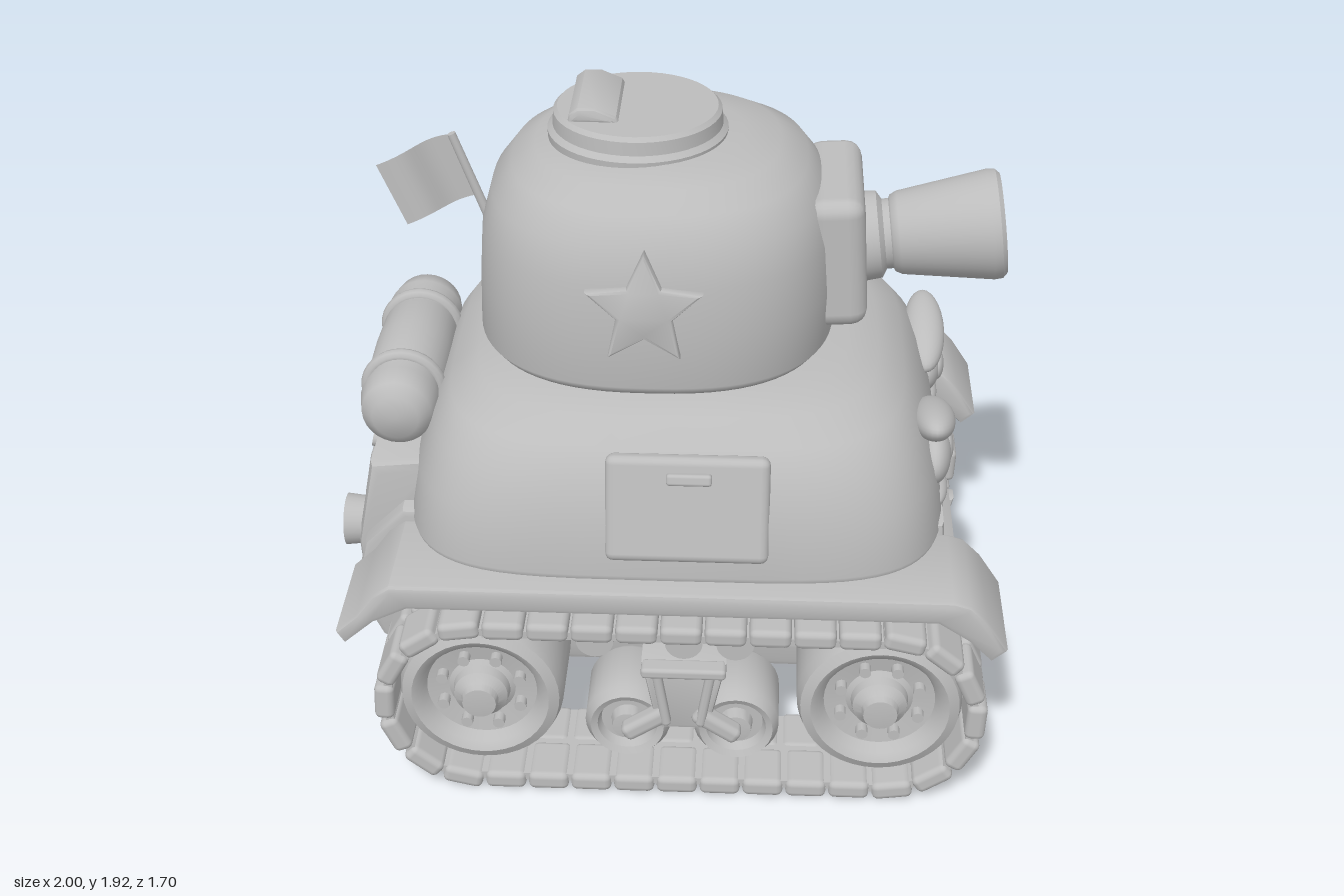
import * as THREE from 'three';
import { toCreasedNormals } from 'three/addons/utils/BufferGeometryUtils.js';
import { RoundedBoxGeometry } from 'three/addons/geometries/RoundedBoxGeometry.js';

const clay = new THREE.MeshStandardMaterial({ color: 0xbcbcbc });
clay.name = 'clay grey';
const clayThin = clay.clone();
clayThin.side = THREE.DoubleSide;

const V2 = (p) => p.map(([x, y]) => new THREE.Vector2(x, y));
const crease = (g) => toCreasedNormals(g, 0.7);
const rbox = (w, h, d, r = 0.02) => new RoundedBoxGeometry(w, h, d, 2, r);
const lathe = (pts, n = 40) => crease(new THREE.LatheGeometry(V2(pts), n));
const cyl = (r1, r2, h, n = 24) => new THREE.CylinderGeometry(r1, r2, h, n);

function add(parent, name, geo, pos = [0, 0, 0], rot = [0, 0, 0], mat = clay) {
  const m = new THREE.Mesh(geo, mat);
  m.name = name;
  m.position.set(...pos);
  m.rotation.set(...rot);
  parent.add(m);
  return m;
}

function ellipsoid(parent, name, pos, scale, rot) {
  add(parent, name, new THREE.SphereGeometry(1, 28, 18), pos, rot).scale.set(...scale);
}

// Side profile extruded across z, centred on z = 0
function slab(pts, depth, bevel = 0.015) {
  const g = new THREE.ExtrudeGeometry(new THREE.Shape(V2(pts)), {
    depth: depth - 2 * bevel, bevelThickness: bevel, bevelSize: bevel, bevelOffset: -bevel, bevelSegments: 2 });
  g.translate(0, 0, -depth / 2 + bevel);
  return crease(g);
}

// Stack of superellipse sections [y, xMin, xMax, zHalf, power]
function loft(levels, n = 72) {
  const pos = [], idx = [];
  const sp = (v, e) => Math.sign(v) * Math.abs(v) ** (2 / e);
  for (const [y, x0, x1, hz, e] of levels)
    for (let i = 0; i < n; i++) {
      const a = (i / n) * Math.PI * 2;
      pos.push((x0 + x1) / 2 + ((x1 - x0) / 2) * sp(Math.cos(a), e), y, hz * sp(Math.sin(a), e));
    }
  for (let j = 0; j < levels.length - 1; j++)
    for (let i = 0; i < n; i++) {
      const a = j * n + i, b = j * n + ((i + 1) % n);
      idx.push(a, a + n, b, b, a + n, b + n);
    }
  const g = new THREE.BufferGeometry();
  g.setAttribute('position', new THREE.Float32BufferAttribute(pos, 3));
  g.setIndex(idx);
  g.computeVertexNormals();
  return g;
}

// Holder on a flank, with local +z pointing outwards
function flank(parent, name, s, x, y, z, tilt) {
  const g = new THREE.Group();
  g.name = name;
  g.position.set(x, y, s * z);
  g.rotation.set(-tilt, s > 0 ? 0 : Math.PI, 0, 'YXZ');
  parent.add(g);
  return g;
}

function starGeometry(r) {
  const pts = [];
  for (let i = 0; i < 10; i++) {
    const a = Math.PI / 2 + (i * Math.PI) / 5, q = i % 2 ? r * 0.48 : r;
    pts.push([Math.cos(a) * q, Math.sin(a) * q]);
  }
  return slab(pts, 0.05, 0.012);
}

function buildHull(tank) {
  add(tank, 'upperHull', loft([
    [0.70, 0, 0.02, 0.01, 2], [0.70, -0.78, 0.82, 0.74, 4.5], [0.74, -0.79, 0.83, 0.75, 4.5],
    [0.90, -0.765, 0.80, 0.725, 4.3], [1.02, -0.72, 0.755, 0.68, 4], [1.10, -0.67, 0.70, 0.625, 3.8],
    [1.155, -0.59, 0.62, 0.54, 3.5], [1.18, -0.5, 0.53, 0.45, 3.2], [1.19, -0.4, 0.4, 0.36, 3], [1.19, 0, 0.02, 0.01, 2]]));
  const body = [[-0.8, 0.76], [-0.92, 0.64], [-0.95, 0.52], [-0.94, 0.4], [-0.89, 0.29], [-0.78, 0.22],
    [0.68, 0.21], [0.78, 0.24], [0.85, 0.31], [0.88, 0.42], [0.87, 0.6], [0.83, 0.63], [0.82, 0.76]];
  add(tank, 'lowerHull', slab(body, 0.96, 0.02));
  for (const s of [1, -1]) {
    add(tank, 'noseCheek', slab([[0.5, 0.19], [0.7, 0.185], [0.82, 0.22], [0.89, 0.31], [0.91, 0.42], [0.9, 0.6], [0.5, 0.6]], 0.14, 0.025), [0, 0, s * 0.43]);
    add(tank, 'noseStrap', slab([[0.6, 0.195], [0.7, 0.195], [0.81, 0.23], [0.88, 0.3], [0.91, 0.44], [0.6, 0.44]], 0.075), [0, 0, s * 0.165]);
    add(tank, 'fender', slab([[-0.93, 0.52], [-0.84, 0.6], [-0.74, 0.65], [0.79, 0.65], [0.88, 0.59], [0.95, 0.52], [0.995, 0.56],
      [0.93, 0.66], [0.88, 0.71], [0.83, 0.725], [-0.79, 0.725], [-0.84, 0.69], [-0.89, 0.62], [-0.955, 0.56]], 0.355), [0, 0, s * 0.645]);
    // Side hatch with handle
    const h = flank(tank, 'sideHatch', s, 0.065, 0.945, 0.695, 0.24);
    add(h, 'hatchPlate', rbox(0.47, 0.32, 0.06, 0.025));
    add(h, 'hatchHandle', rbox(0.13, 0.035, 0.03, 0.01), [0.005 * s, 0.1, 0.035]);
  }
}

function buildFace(tank) {
  for (const s of [1, -1]) {
    ellipsoid(tank, 'eye', [0.79, 0.885, s * 0.27], [0.055, 0.085, 0.125]);
    ellipsoid(tank, 'pupil', [0.832, 0.89, s * 0.245], [0.022, 0.05, 0.05]);
    ellipsoid(tank, 'brow', [0.785, 1.0, s * 0.265], [0.065, 0.055, 0.175], [-0.3 * s, 0, 0]);
    ellipsoid(tank, 'eyeBag', [0.8, 0.775, s * 0.28], [0.04, 0.035, 0.11]);
  }
  const frown = new THREE.CatmullRomCurve3([[0.7, 0.09], [0.74, 0.05], [0.75, 0], [0.735, -0.05], [0.7, -0.09]]
    .map(([y, z]) => new THREE.Vector3(0.835, y, z)));
  add(tank, 'mouth', new THREE.TubeGeometry(frown, 20, 0.013, 8));
  add(tank, 'mouthStick', cyl(0.012, 0.012, 0.09, 8), [0.84, 0.74, -0.085], [-0.2, 0, 0]);
}

function buildTurret(tank) {
  add(tank, 'turretRing', cyl(0.39, 0.39, 0.06, 48), [-0.05, 1.195, 0]);
  add(tank, 'turret', loft([
    [1.21, -0.06, -0.04, 0.01, 2], [1.21, -0.565, 0.46, 0.505, 2.5], [1.235, -0.585, 0.48, 0.52, 2.5],
    [1.4, -0.58, 0.485, 0.525, 2.5], [1.55, -0.57, 0.475, 0.512, 2.5], [1.66, -0.54, 0.45, 0.485, 2.4],
    [1.74, -0.48, 0.39, 0.43, 2.4], [1.785, -0.41, 0.31, 0.36, 2.3], [1.81, -0.3, 0.2, 0.25, 2], [1.815, -0.06, -0.04, 0.01, 2]]));
  for (const s of [1, -1])
    add(flank(tank, 'sideStar', s, -0.065, 1.49, 0.517, 0.1), 'star', starGeometry(0.175));
  // Gun
  add(tank, 'mantlet', rbox(0.17, 0.41, 0.48, 0.05), [0.48, 1.485, 0], [0, 0, 0.06]);
  add(tank, 'barrel', lathe([[0, 0], [0.13, 0], [0.135, 0.06], [0.13, 0.11], [0.105, 0.125], [0.105, 0.145], [0.115, 0.15], [0.125, 0.17],
    [0.165, 0.44], [0.163, 0.465], [0.15, 0.478], [0.12, 0.475], [0.11, 0.45], [0.1, 0.22], [0, 0.22]]), [0.5, 1.465, 0], [0, 0, -Math.PI / 2 + 0.125]);
  // Roof hatch
  add(tank, 'roofHatch', lathe([[0, 0], [0.262, 0], [0.265, 0.045], [0.25, 0.06], [0.247, 0.1], [0.235, 0.112], [0, 0.112]], 48), [-0.11, 1.775, 0]);
  add(tank, 'roofHatchHandle', slab([[-0.08, 0], [0.07, 0], [0.06, 0.02], [0, 0.045], [-0.05, 0.045], [-0.075, 0.025]], 0.31), [-0.225, 1.88, -0.015]);
}

function buildRear(tank) {
  // Bedroll with straps
  add(tank, 'bedroll', lathe([[0, -0.375], [0.07, -0.37], [0.105, -0.34], [0.12, -0.27], [0.105, -0.19], [0.118, -0.15], [0.122, 0],
    [0.118, 0.15], [0.105, 0.19], [0.12, 0.27], [0.105, 0.34], [0.07, 0.37], [0, 0.375]], 28), [-0.82, 1.02, 0], [Math.PI / 2, 0, 0]);
  add(tank, 'rearPanel', slab([[-0.7, 0.5], [-0.95, 0.5], [-0.955, 0.6], [-0.9, 0.88], [-0.7, 0.9]], 0.84, 0.03));
  add(tank, 'rearPlate', rbox(0.04, 0.17, 0.36, 0.015), [-0.94, 0.68, 0], [0, 0, -0.19]);
  for (const s of [1, -1]) {
    add(tank, 'bedrollStrap', new THREE.TorusGeometry(0.11, 0.022, 10, 32), [-0.82, 1.02, s * 0.19]);
    add(tank, 'rearLamp', cyl(0.08, 0.07, 0.09), [-0.955, 0.62, s * 0.325], [0, 0, Math.PI / 2]);
    add(tank, 'rearBolt', cyl(0.025, 0.025, 0.03, 12), [-0.92, 0.81, s * 0.16], [0, 0, Math.PI / 2 - 0.19]);
  }
  // Flag
  add(tank, 'flagPole', cyl(0.014, 0.016, 0.42, 12), [-0.67, 1.355, -0.5], [0, 0, 0.35]);
  add(tank, 'flagFoot', cyl(0.03, 0.035, 0.04, 14), [-0.605, 1.175, -0.5], [0, 0, 0.35]);
  const cloth = new THREE.PlaneGeometry(0.27, 0.23, 16, 4), p = cloth.attributes.position;
  for (let i = 0; i < p.count; i++) {
    const t = 0.5 - p.getX(i) / 0.27;
    p.setZ(i, Math.sin(t * 7) * 0.025 * t);
    p.setY(i, p.getY(i) + Math.sin(t * 6) * 0.012);
  }
  cloth.computeVertexNormals();
  add(tank, 'flagCloth', cloth, [-0.825, 1.385, -0.515], [0, 0, 0.4], clayThin);
}

function buildTrack(tank, s) {
  const track = new THREE.Group();
  track.name = s > 0 ? 'leftTrack' : 'rightTrack';
  tank.add(track);
  const out = [(s * Math.PI) / 2, 0, 0];
  const xa = -0.545, xb = 0.64, yc = 0.315, R = 0.28, run = xb - xa, arc = Math.PI * R;
  const total = 2 * run + 2 * arc, count = 32;
  const pad = rbox(0.122, 0.06, 0.16, 0.02), web = new THREE.BoxGeometry(0.135, 0.025, 0.3);
  // Links laid around the two end wheels
  for (let i = 0; i < count; i++) {
    let d = ((i + 0.5) / count) * total, x, y, a;
    if (d < run) { x = xa + d; y = yc - R; a = 0; }
    else if (d < run + arc) { a = (d - run) / R; x = xb + R * Math.sin(a); y = yc - R * Math.cos(a); }
    else if (d < 2 * run + arc) { a = Math.PI; x = xb - (d - run - arc); y = yc + R; }
    else { a = Math.PI + (d - 2 * run - arc) / R; x = xa + R * Math.sin(a); y = yc - R * Math.cos(a); }
    const link = new THREE.Group();
    link.name = 'trackLink';
    link.position.set(x, y, s * 0.685);
    link.rotation.z = a;
    add(link, 'linkWeb', web, [0, 0.012, 0]);
    for (const k of [1, -1]) add(link, 'linkPad', pad, [k * 0.006, 0, k * 0.084]);
    track.add(link);
  }
  // End wheels with hub and bolts
  const wheel = lathe([[0, 0], [0.2, 0], [0.235, 0.02], [0.245, 0.05], [0.245, 0.3], [0.235, 0.335], [0.205, 0.35], [0.18, 0.335],
    [0.165, 0.3], [0.1, 0.29], [0.085, 0.3], [0.08, 0.33], [0.055, 0.35], [0.05, 0.375], [0, 0.38]]);
  for (const x of [xa, xb]) {
    add(track, 'endWheel', wheel, [x, yc, s * 0.45], out);
    for (let i = 0; i < 8; i++) {
      const a = ((i + 0.5) * Math.PI) / 4;
      add(track, 'wheelBolt', cyl(0.018, 0.018, 0.04, 10), [x + 0.125 * Math.cos(a), yc + 0.125 * Math.sin(a), s * 0.755], out);
    }
  }
  // Road wheels, swing arms and bracket
  const road = lathe([[0, 0], [0.11, 0], [0.128, 0.03], [0.128, 0.22], [0.11, 0.25], [0.09, 0.24], [0.08, 0.21], [0.05, 0.21], [0.045, 0.25], [0, 0.255]], 28);
  for (const k of [1, -1]) {
    add(track, 'roadWheel', road, [0.053 + k * 0.163, 0.2, s * 0.52], out);
    add(track, 'swingArm', rbox(0.16, 0.055, 0.06, 0.02), [0.053 + k * 0.105, 0.24, s * 0.79], [0, 0, -k * 0.6]);
    add(track, 'bracketRib', rbox(0.028, 0.2, 0.05, 0.012), [0.06 + k * 0.065, 0.345, s * 0.8], [0, 0, -k * 0.16]);
  }
  add(track, 'bracket', slab([[-0.065, 0.46], [-0.02, 0.22], [0.135, 0.22], [0.185, 0.46]], 0.32), [0, 0, s * 0.64]);
  add(track, 'bracketTop', rbox(0.25, 0.035, 0.06, 0.012), [0.06, 0.445, s * 0.8]);
  // Return rollers
  for (const x of [-0.2, 0.06, 0.21]) add(track, 'returnRoller', cyl(0.055, 0.055, 0.32), [x, 0.54, s * 0.64], out);
}

export function createModel() {
  const tank = new THREE.Group();
  tank.name = 'cartoonTank';
  buildHull(tank);
  buildFace(tank);
  buildTurret(tank);
  buildRear(tank);
  for (const s of [1, -1]) buildTrack(tank, s);
  return tank;
}
